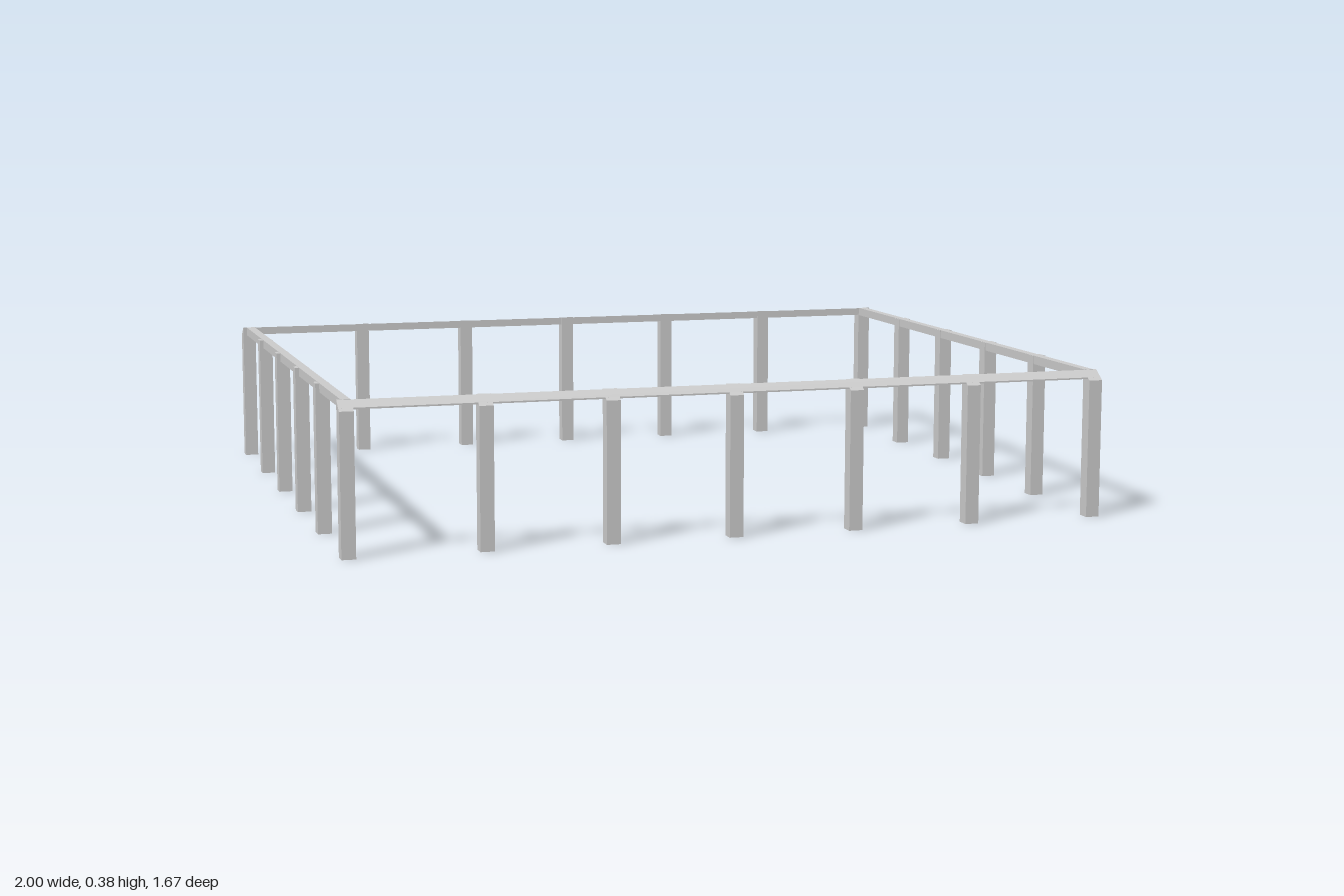
import * as THREE from 'three';

const HX = 1, HZ = 0.837;      // half extents of the fence
const POST = 0.036;            // post thickness
const TOP = 0.385, LOW = 0.36; // inner and outer heights of the sloped tops

const material = new THREE.MeshStandardMaterial({ color: 0xcccccc, flatShading: true });

// Prism along x from a (z, y) outline
function prism(outline, length) {
  const shape = new THREE.Shape(outline.map(([z, y]) => new THREE.Vector2(z, y)));
  const geometry = new THREE.ExtrudeGeometry(shape, { depth: length, bevelEnabled: false });
  geometry.translate(0, 0, -length / 2);
  geometry.rotateY(-Math.PI / 2);
  return geometry;
}

export function createModel() {
  const model = new THREE.Group();
  const add = (parent, name, geometry, x = 0, y = 0, z = 0) => {
    const mesh = new THREE.Mesh(geometry, material);
    mesh.name = name;
    mesh.position.set(x, y, z);
    parent.add(mesh);
  };

  // Post with its top sloping down towards the outside
  const slopedPost = prism([
    [HZ - POST, 0], [HZ, 0], [HZ, LOW], [HZ - POST, TOP],
  ], POST);
  // Long rail, flush with the sloped post tops
  const longRail = prism([
    [HZ - 0.034, 0.363], [HZ - 0.01, 0.363], [HZ - 0.01, 0.367], [HZ - 0.034, TOP - 0.001],
  ], 2 * HX);
  const sidePost = new THREE.BoxGeometry(POST, TOP - 0.001, POST);
  const sideRail = new THREE.BoxGeometry(0.024, 0.023, 2 * (HZ - POST) + 0.004);

  // Front and back runs, including the corner posts
  for (const [name, turn] of [['front', 0], ['back', Math.PI]]) {
    const run = new THREE.Group();
    run.name = name + 'Run';
    run.rotation.y = turn;
    const corner = HX - POST / 2;
    for (const x of [-corner, -0.64, -0.32, 0, 0.32, 0.64, corner]) {
      add(run, Math.abs(x) === corner ? 'cornerPost' : name + 'Post', slopedPost, x);
    }
    add(run, name + 'Rail', longRail);
    model.add(run);
  }

  // Left and right runs
  for (const [name, side] of [['left', 1], ['right', -1]]) {
    const run = new THREE.Group();
    run.name = name + 'Run';
    for (const z of [-0.48, -0.16, 0.16, 0.48]) {
      add(run, name + 'Post', sidePost, side * (HX - POST / 2), (TOP - 0.001) / 2, z);
    }
    add(run, name + 'Rail', sideRail, side * (HX - 0.022), TOP - 0.0115, 0);
    model.add(run);
  }
  return model;
}
